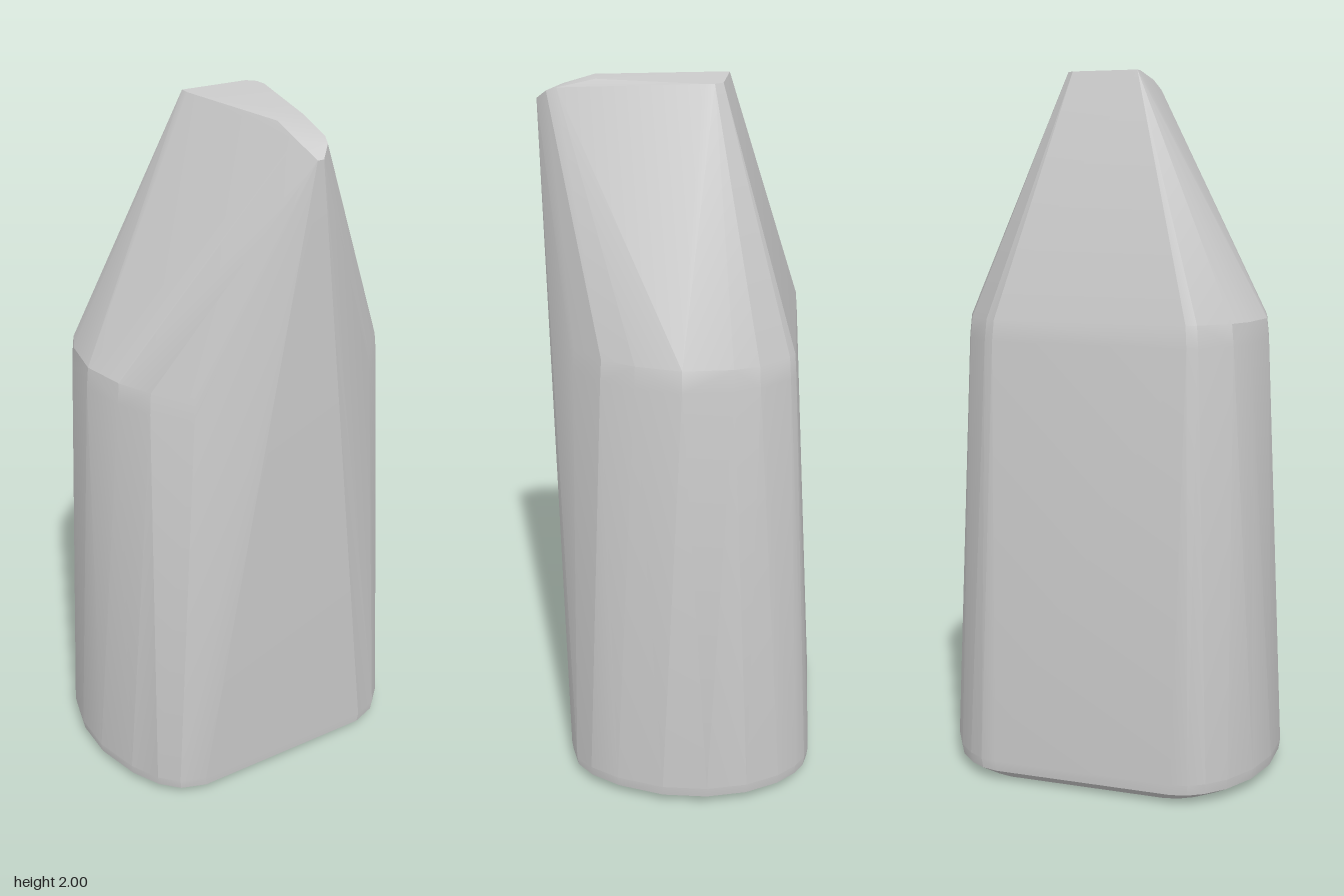
import * as THREE from 'three';
import { ConvexGeometry } from 'three/addons/geometries/ConvexGeometry.js';
import { toCreasedNormals } from 'three/addons/utils/BufferGeometryUtils.js';

// Half outlines [x, z]; the other half is mirrored across the diagonal x = z
const baseArc = [[-0.07, -0.44], [-0.03, -0.465], [0.02, -0.478], [0.09, -0.478], [0.19, -0.45], [0.29, -0.39],
  [0.38, -0.3], [0.45, -0.18], [0.478, -0.09], [0.478, -0.02], [0.445, 0.05]];
const shoulderArc = [[-0.01, -0.405], [0.02, -0.415], [0.13, -0.415], [0.2, -0.39], [0.31, -0.31],
  [0.38, -0.2], [0.415, -0.1], [0.415, 0.02]];

function ring(arc, y, scale = 1) {
  return arc.flatMap(([x, z]) => [
    new THREE.Vector3(x * scale, y, z * scale),
    new THREE.Vector3(z * scale, y, x * scale),
  ]);
}

export function createModel() {
  const group = new THREE.Group();
  group.name = 'taperedStone';

  // Narrow sloping crest, ending in a blunt overhanging tip
  const crest = [
    [-0.12, 2, -0.01], [-0.1, 2, 0.01], [0.02, 2, -0.14], [0.05, 2, -0.14], [0.075, 2, -0.12],
    [0.23, 2, 0.13], [0.18, 2, 0.2], [0.3, 1.975, 0.21], [0.24, 1.975, 0.26],
    [0.313, 1.965, 0.24], [0.313, 1.94, 0.285], [0.3, 1.94, 0.297],
  ].map((p) => new THREE.Vector3(...p));

  // Convex body through the bevelled foot, the shoulder and the crest
  const points = [
    ...ring(baseArc, 0, 0.88),
    ...ring(baseArc, 0.03, 0.99),
    ...ring(baseArc, 0.06),
    ...ring(shoulderArc, 1.26),
    ...ring(shoulderArc, 1.32, 0.985),
    ...crest,
  ];
  const geometry = toCreasedNormals(new ConvexGeometry(points), 0.3);
  const body = new THREE.Mesh(geometry, new THREE.MeshStandardMaterial({ color: 0xcccccc }));
  body.name = 'body';
  group.add(body);
  return group;
}
